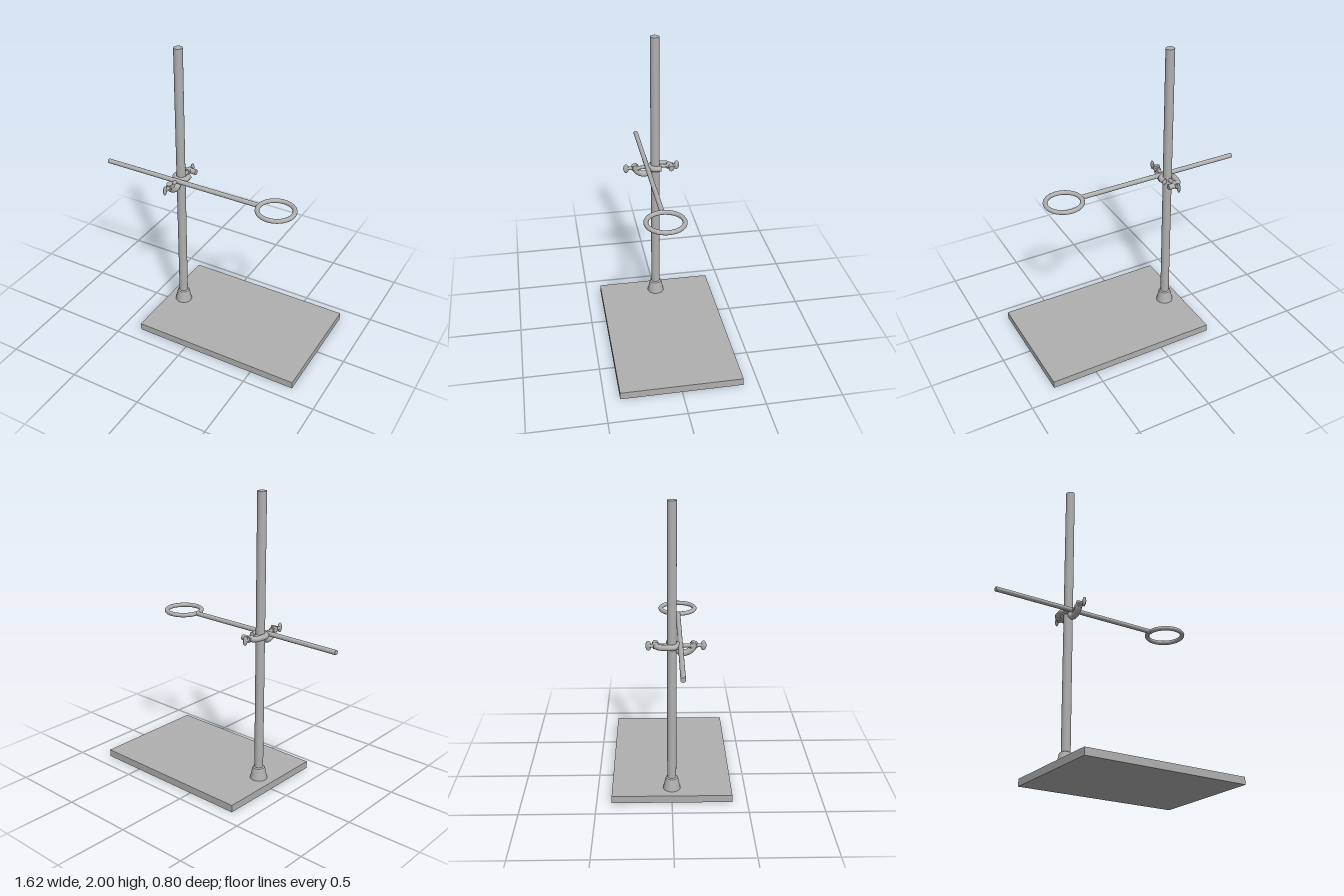
import * as THREE from 'three';

const steel = new THREE.MeshStandardMaterial({ color: 0xb0b0b0 });
steel.name = 'grey steel';

const POLE_X = -0.26, ROD_Y = 1.075, ROD_Z = 0.055;

export function createModel() {
  const model = new THREE.Group();
  model.name = 'ringStand';

  function add(parent, name, geometry, x = 0, y = 0, z = 0) {
    const mesh = new THREE.Mesh(geometry, steel);
    mesh.name = name;
    mesh.position.set(x, y, z);
    parent.add(mesh);
    return mesh;
  }

  // Curved bar with flat discs closing both ends
  function addHook(parent, name, points, radius) {
    const curve = new THREE.CatmullRomCurve3(points.map(p => new THREE.Vector3(...p)));
    const hook = new THREE.Group();
    hook.name = name;
    parent.add(hook);
    add(hook, name + 'Bar', new THREE.TubeGeometry(curve, 40, radius, 14));
    for (const [t, sign] of [[0, -1], [1, 1]]) {
      const p = curve.getPointAt(t);
      const cap = add(hook, name + 'End', new THREE.CircleGeometry(radius, 14), p.x, p.y, p.z);
      cap.quaternion.setFromUnitVectors(new THREE.Vector3(0, 0, 1), curve.getTangentAt(t).multiplyScalar(sign));
    }
  }

  // Thumb screw along z: shaft, threaded boss, neck and flat oval wing
  function addScrew(name, tip, boss, wing) {
    const screw = new THREE.Group();
    screw.name = name;
    clamp.add(screw);
    const shaft = add(screw, name + 'Shaft',
      new THREE.CylinderGeometry(0.012, 0.012, Math.abs(wing - tip), 14), 0, 0, (tip + wing) / 2);
    shaft.rotation.x = Math.PI / 2;
    const collar = add(screw, name + 'Boss', new THREE.CylinderGeometry(0.021, 0.021, 0.04, 16), 0, 0, boss);
    collar.rotation.x = Math.PI / 2;
    const oval = add(screw, name + 'Wing', new THREE.SphereGeometry(1, 20, 14), 0, 0, wing);
    oval.scale.set(0.01, 0.033, 0.019);
  }

  // Base plate, socket and upright
  add(model, 'basePlate', new THREE.BoxGeometry(1.175, 0.05, 0.8), 0.2175, 0.025, 0);
  const socketProfile = [[0.058, 0.05], [0.043, 0.122], [0.04, 0.13], [0.03, 0.136]];
  for (let i = 0; i < socketProfile.length - 1; i++) {
    const [r0, y0] = socketProfile[i], [r1, y1] = socketProfile[i + 1];
    add(model, 'poleSocket', new THREE.CylinderGeometry(r1, r0, y1 - y0, 32, 1, true), POLE_X, (y0 + y1) / 2, 0);
  }
  add(model, 'pole', new THREE.CylinderGeometry(0.03, 0.03, 1.95, 32), POLE_X, 1.025, 0);

  // Horizontal rod with the support ring
  const rod = add(model, 'supportRod', new THREE.CylinderGeometry(0.016, 0.016, 1.165, 20), -0.2275, ROD_Y, ROD_Z);
  rod.rotation.z = Math.PI / 2;
  const ring = add(model, 'supportRing', new THREE.TorusGeometry(0.12, 0.015, 16, 64), 0.475, ROD_Y, ROD_Z);
  ring.rotation.x = Math.PI / 2;

  // Clamp: one hook lies flat around the pole, one cradles the rod from below
  const clamp = new THREE.Group();
  clamp.name = 'clamp';
  clamp.position.set(POLE_X, ROD_Y, 0);
  model.add(clamp);
  addHook(clamp, 'poleHook', [
    [0.055, 0, -0.105], [0.01, 0, -0.107], [-0.03, 0, -0.085], [-0.042, 0, -0.04],
    [-0.042, 0, 0.005], [-0.015, 0, 0.033], [0.022, 0, 0.032], [0.042, 0, 0.005], [0.04, 0, -0.035]], 0.019);
  addHook(clamp, 'rodHook', [
    [0, 0.025, 0.143], [0, -0.015, 0.133], [0, -0.043, 0.1],
    [0, -0.048, 0.065], [0, -0.03, 0.037], [0, 0, 0.032]], 0.021);
  addScrew('poleScrew', -0.03, -0.1, -0.148);
  addScrew('rodScrew', 0.07, 0.135, 0.2);

  return model;
}
